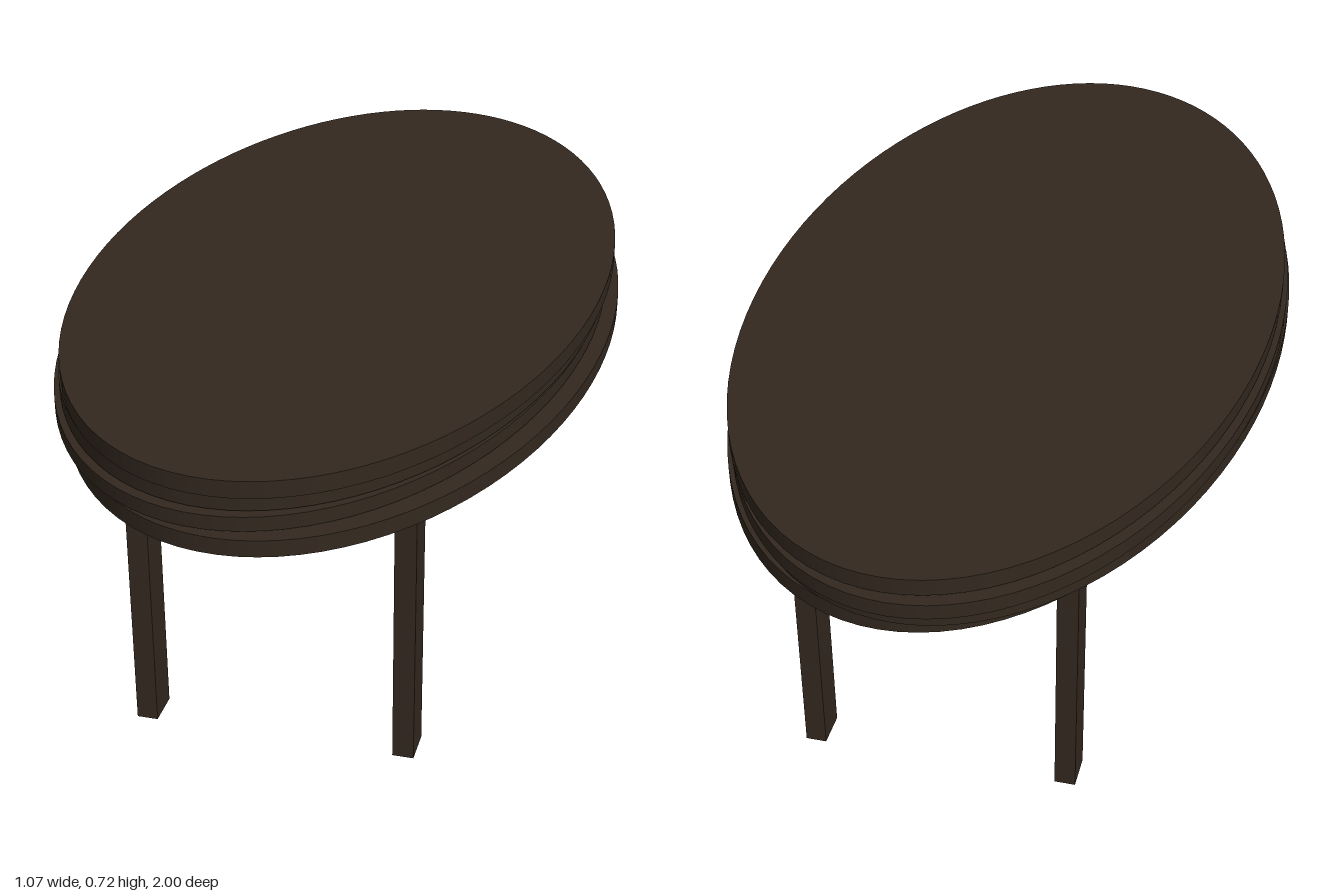
import * as THREE from 'three';

export function createModel() {
  const model = new THREE.Group();
  const wood = new THREE.MeshStandardMaterial({ color: 0x33281f });

  function ellipse(name, rx, rz, y0, y1, x = 0, z = 0) {
    const geometry = new THREE.CylinderGeometry(1, 1, y1 - y0, 96);
    geometry.scale(rx, 1, rz);
    const mesh = new THREE.Mesh(geometry, wood);
    mesh.name = name;
    mesh.position.set(x, (y0 + y1) / 2, z);
    model.add(mesh);
  }

  // Four oval boards, slightly shifted against each other: [bottom, top, x, z]
  const boards = [
    [0.593, 0.624, 0.013, 0.019],
    [0.628, 0.655, -0.016, 0.002],
    [0.657, 0.686, -0.013, -0.017],
    [0.691, 0.723, -0.002, 0.001],
  ];
  boards.forEach(([y0, y1, x, z], i) => ellipse('topBoard' + (i + 1), 0.522, 0.983, y0, y1, x, z));

  // Recessed core that fills the narrow gaps between the boards
  ellipse('topCore', 0.46, 0.92, 0.61, 0.70);

  // Leg frames: two legs joined by a rail, cut as one upside-down U
  const x0 = -0.268, x1 = 0.284, legWidth = 0.041, depth = 0.07, top = 0.595, railBottom = 0.524;
  const outline = new THREE.Shape([
    [x0, 0], [x0 + legWidth, 0], [x0 + legWidth, railBottom], [x1 - legWidth, railBottom],
    [x1 - legWidth, 0], [x1, 0], [x1, top], [x0, top],
  ].map(([x, y]) => new THREE.Vector2(x, y)));
  const frameGeometry = new THREE.ExtrudeGeometry(outline, { depth, bevelEnabled: false });
  for (const [name, z] of [['frontLegFrame', 0.655], ['backLegFrame', -0.627]]) {
    const frame = new THREE.Mesh(frameGeometry, wood);
    frame.name = name;
    frame.position.z = z - depth / 2;
    model.add(frame);
  }

  return model;
}
